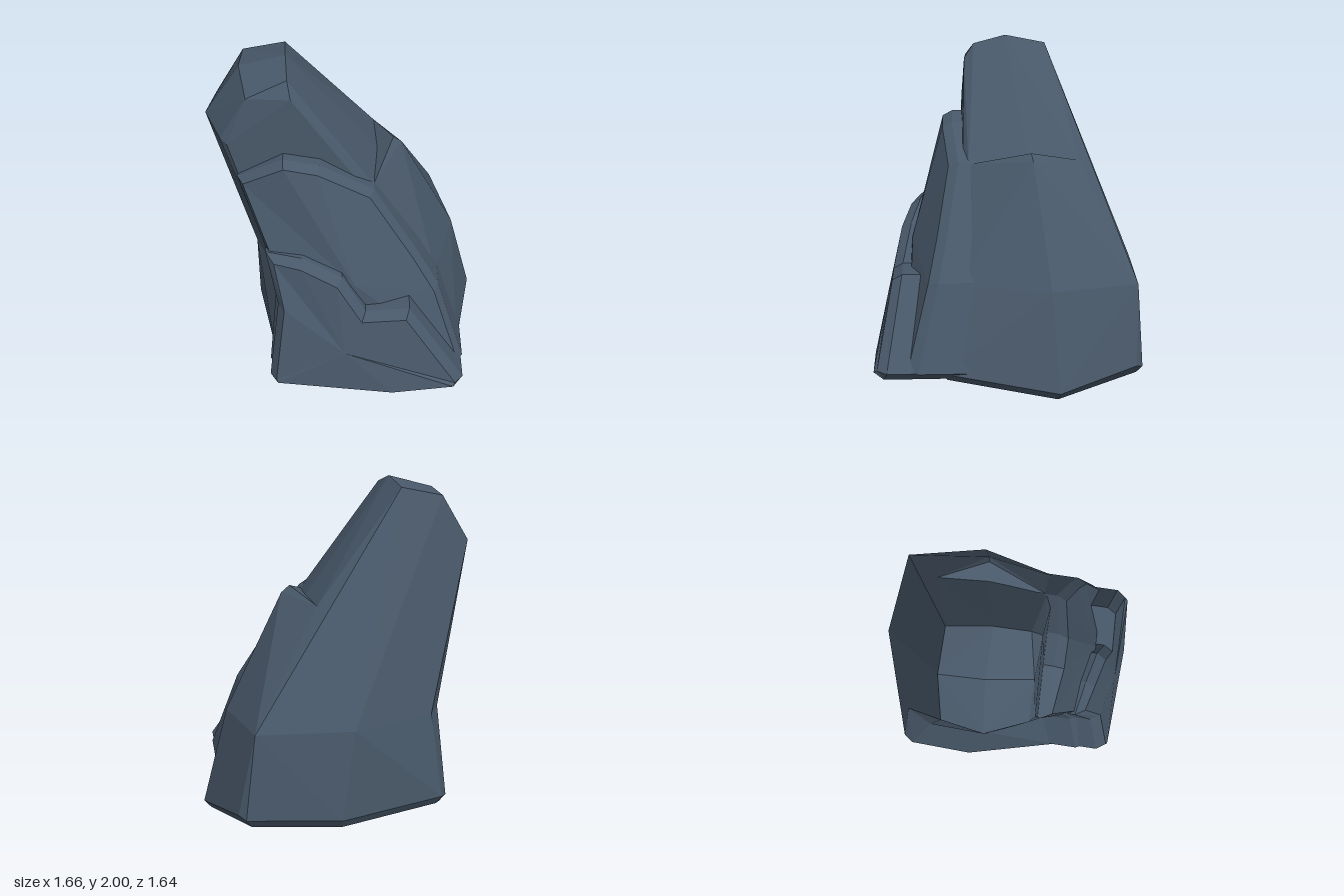
import * as THREE from 'three';
import { ConvexGeometry } from 'three/addons/geometries/ConvexGeometry.js';

const stone = new THREE.MeshStandardMaterial({ color: 0x485869, flatShading: true });
stone.name = 'slateStone';

const hull = (name, points) => {
  const mesh = new THREE.Mesh(new ConvexGeometry(points.map(p => new THREE.Vector3(...p))), stone);
  mesh.name = name;
  return mesh;
};

// Layered plate: clockwise outline of [x, y, front z], bevelled at the front,
// domed slightly to a centre point and run back to backZ
function slab(name, outline, centre, backZ, inset, bevel) {
  const n = outline.length;
  const edge = (a, b) => new THREE.Vector2(b[1] - a[1], a[0] - b[0]).normalize();
  const front = outline.map((p, i) => {
    const a = edge(outline[(i + n - 1) % n], p), b = edge(p, outline[(i + 1) % n]);
    const m = a.clone().add(b).multiplyScalar(inset / (1 + a.dot(b)));
    return [p[0] + m.x, p[1] + m.y, p[2]];
  });
  const side = outline.map(([x, y, z]) => [x, y, z - bevel]);
  const back = outline.map(([x, y]) => [x, y, backZ]);
  const backCentre = [centre[0], centre[1], backZ];
  const pos = [];
  const tri = (a, b, c) => pos.push(...a, ...b, ...c);
  for (let i = 0; i < n; i++) {
    const j = (i + 1) % n;
    for (const [f, r] of [[front, side], [side, back]]) {
      tri(f[i], f[j], r[j]);
      tri(f[i], r[j], r[i]);
    }
    tri(centre, front[j], front[i]);
    tri(backCentre, back[i], back[j]);
  }
  const g = new THREE.BufferGeometry();
  g.setAttribute('position', new THREE.Float32BufferAttribute(pos, 3));
  g.computeVertexNormals();
  const mesh = new THREE.Mesh(g, stone);
  mesh.name = name;
  return mesh;
}

export function createModel() {
  const group = new THREE.Group();
  group.name = 'rock';

  // Widest ring near the ground, and the waist where the leaning spire begins
  const foot = [
    [0.83, 0.09, -0.27], [0.66, 0.18, -0.73], [0.62, 0.16, -0.77], [0.08, 0.14, -0.82],
    [-0.56, 0.15, -0.6], [-0.6, 0.14, -0.54], [-0.6, 0.08, -0.15], [-0.46, 0.13, 0.42],
    [0.25, 0.12, 0.5], [0.71, 0.17, 0.39],
  ];
  const waist = [
    [0.68, 0.65, -0.23], [0.56, 0.65, -0.74], [0, 0.65, -0.77], [-0.5, 0.65, -0.54],
    [-0.58, 0.65, -0.38], [-0.58, 0.65, 0], [-0.42, 0.65, 0.33], [0.55, 0.65, 0.29],
  ];
  const sole = foot.map(([x, y, z]) => [x * 0.95, y - 0.05, z * 0.96]);
  const shoulderBack = [0.16, 1.3, -0.43], shoulderFront = [0.16, 1.28, 0.24];

  // Broad base with the shoulder on its left side
  group.add(hull('baseAndShoulder', [
    ...foot, ...sole, [0.22, 0, -0.18], ...waist,
    shoulderFront, shoulderBack, [0.28, 1.37, -0.13], [0.33, 1.33, -0.14],
  ]));

  // Leaning spire with a chipped top
  group.add(hull('spire', [
    ...waist,
    [-0.79, 1.63, -0.22], [-0.83, 1.63, 0.02], [-0.72, 1.6, 0.25], [-0.68, 1.58, 0.28],
    [-0.35, 2, 0], [-0.37, 1.95, -0.25], [-0.33, 1.95, 0.2], [-0.31, 1.86, 0.26],
    [-0.56, 1.86, 0.25], [-0.62, 1.93, 0], [-0.62, 1.9, -0.25],
    shoulderFront, shoulderBack,
  ]));

  // Tall plate on the front
  group.add(slab('tallFrontPlate', [
    [-0.63, 1.38, 0.37], [-0.36, 1.52, 0.4], [-0.15, 1.48, 0.4], [0.16, 1.29, 0.36],
    [0.42, 0.9, 0.43], [0.56, 0.67, 0.48], [0.73, 0.18, 0.6], [0.68, 0.13, 0.6],
    [0.25, 0.08, 0.64], [-0.44, 0.11, 0.64], [-0.47, 0.16, 0.63], [-0.42, 0.68, 0.55], [-0.48, 0.98, 0.5],
  ], [0.05, 0.8, 0.59], 0.12, 0.03, 0.06));

  // Low stepped plate in front of it
  group.add(slab('lowFrontPlate', [
    [-0.47, 0.98, 0.57], [-0.25, 0.965, 0.61], [-0.02, 0.87, 0.66], [0.12, 0.65, 0.71],
    [0.38, 0.665, 0.7], [0.72, 0.18, 0.78], [0.68, 0.13, 0.8],
    [0.29, 0.09, 0.82], [-0.43, 0.12, 0.78], [-0.46, 0.17, 0.77], [-0.4, 0.67, 0.68],
  ], [0, 0.4, 0.76], 0.35, 0.04, 0.06));

  return group;
}
